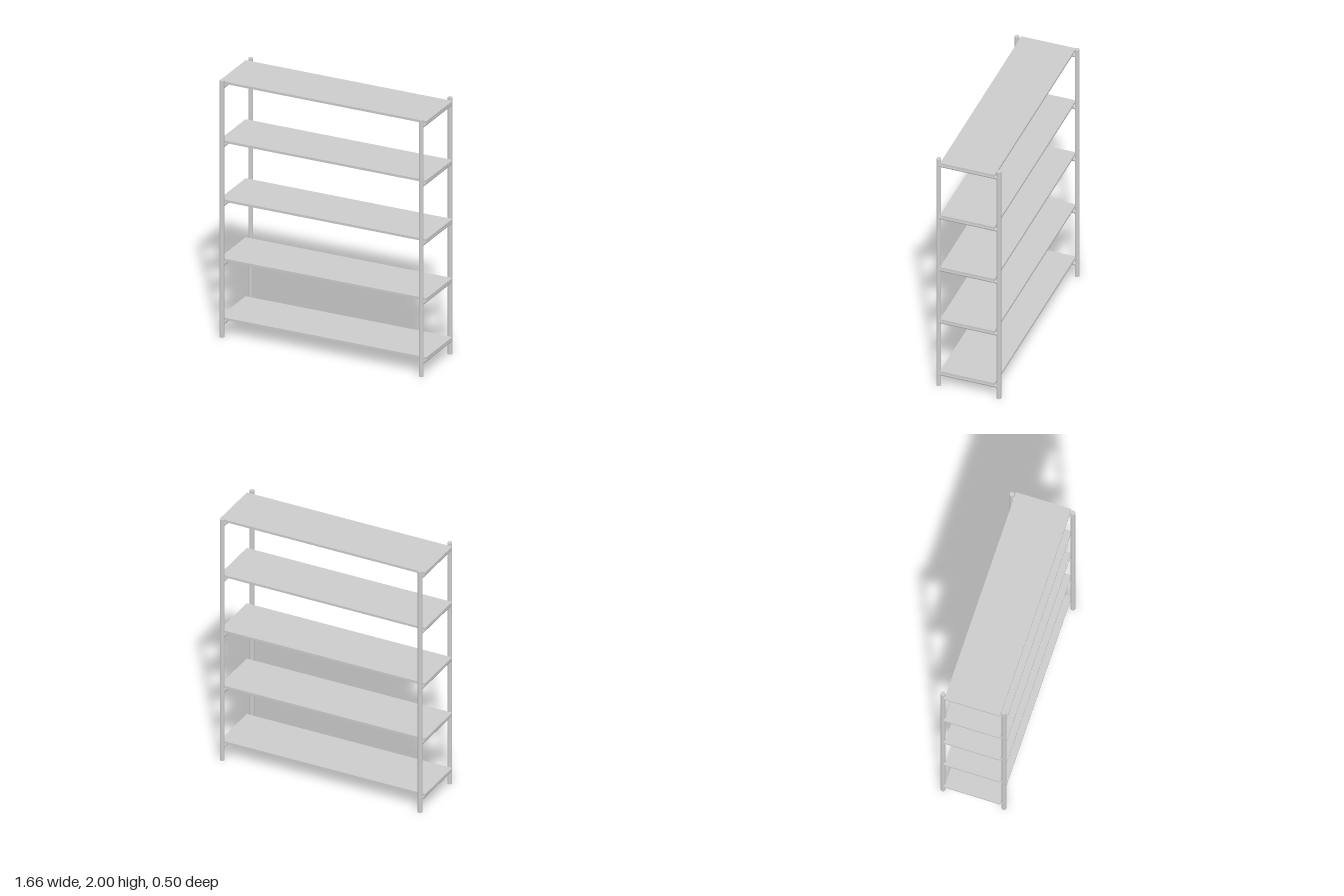
import * as THREE from 'three';

export function createModel() {
  const group = new THREE.Group();
  const material = new THREE.MeshStandardMaterial({ color: 0xcccccc });
  const radius = 0.0175, postX = 0.8, postZ = 0.23;
  const shelfTop = 0.144, shelfPitch = 0.46, shelfThickness = 0.018;

  const postGeometry = new THREE.CylinderGeometry(radius, radius, 2, 20);
  const railGeometry = new THREE.CylinderGeometry(radius, radius, 2 * postZ, 20).rotateX(Math.PI / 2);
  const shelfGeometry = new THREE.BoxGeometry(1.66, shelfThickness, 0.418);

  function add(name, geometry, x, y, z) {
    const mesh = new THREE.Mesh(geometry, material);
    mesh.name = name;
    mesh.position.set(x, y, z);
    group.add(mesh);
  }

  // Four upright tubes
  for (const x of [-postX, postX])
    for (const z of [-postZ, postZ]) add('post', postGeometry, x, 1, z);

  // Five boards, each resting on two cross rails
  for (let i = 0; i < 5; i++) {
    const top = shelfTop + i * shelfPitch;
    add('shelf', shelfGeometry, 0, top - shelfThickness / 2, 0);
    for (const x of [-postX, postX])
      add('crossRail', railGeometry, x, top - shelfThickness - radius - 0.001, 0);
  }

  return group;
}
